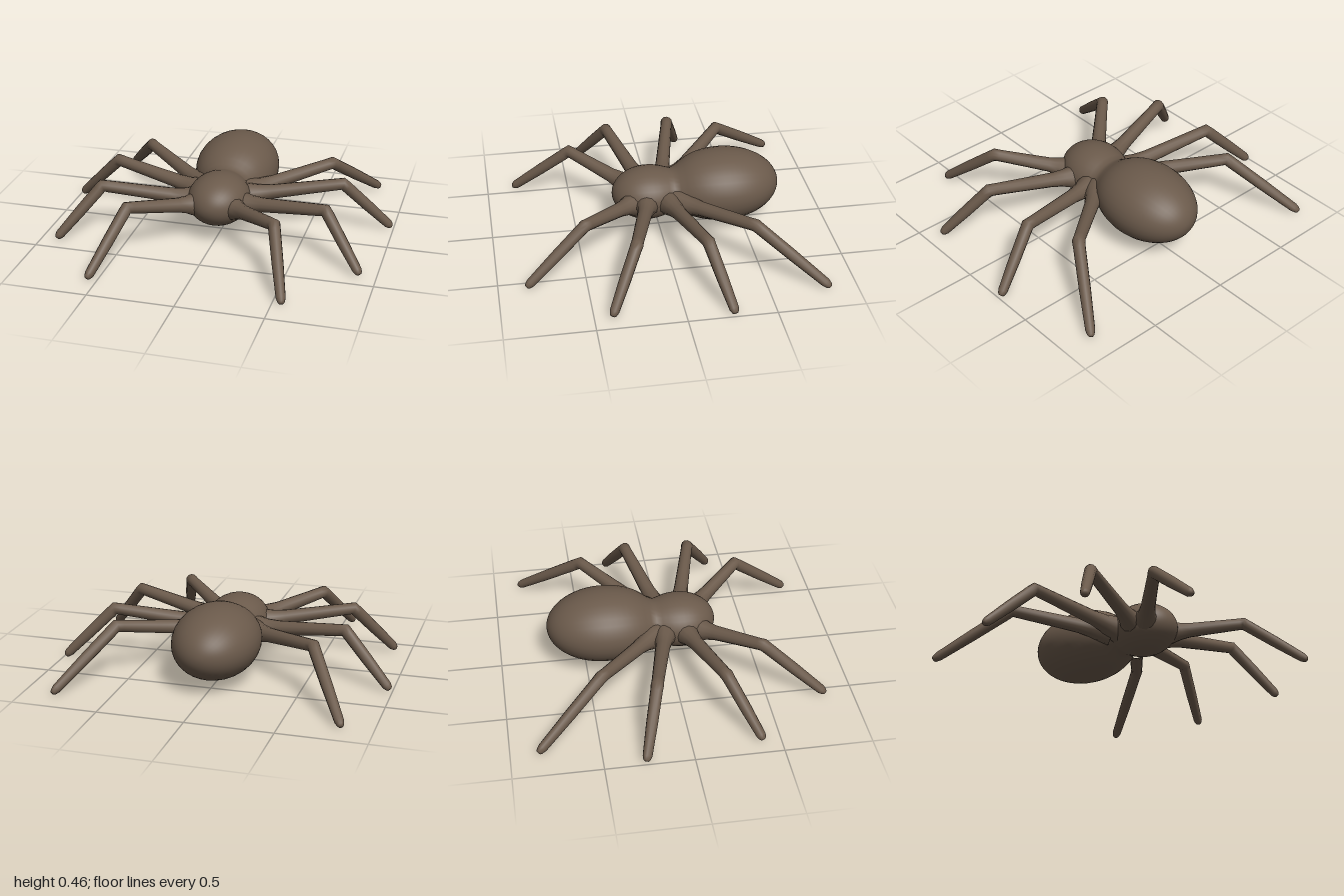
import * as THREE from 'three';
import { mergeVertices } from 'three/addons/utils/BufferGeometryUtils.js';

const UP = new THREE.Vector3(0, 1, 0);

// Skin a row of elliptical rings: each has centre c, tangent t, half width w, half height h
function loft(rings, sides) {
  const pos = [], index = [];
  rings.forEach(({ c, t, w, h }, i) => {
    const side = t.clone().cross(UP).normalize();
    const up = side.clone().cross(t).normalize();
    for (let j = 0; j < sides; j++) {
      const a = (j / sides) * Math.PI * 2;
      const p = c.clone().addScaledVector(side, w * Math.cos(a)).addScaledVector(up, h * Math.sin(a));
      pos.push(p.x, p.y, p.z);
      if (i === rings.length - 1) continue;
      const k = (j + 1) % sides, r = i * sides, n = r + sides;
      index.push(r + j, n + j, r + k, r + k, n + j, n + k);
    }
  });
  let geo = new THREE.BufferGeometry();
  geo.setAttribute('position', new THREE.Float32BufferAttribute(pos, 3));
  geo.setIndex(index);
  geo = mergeVertices(geo, 1e-5);
  geo.computeVertexNormals();
  return geo;
}

// Head and abdomen: two ellipsoids blended at a narrow waist
function bodyGeometry() {
  const head = { z: 0.065, l: 0.215, w: 0.185, h: 0.153, y: 0.237 };
  const abdomen = { z: -0.38, l: 0.34, w: 0.252, h: 0.21, y: 0.255 };
  const slice = (e, z) => Math.sqrt(Math.max(0, 1 - ((z - e.z) / e.l) ** 2));
  const blend = (a, b) => (a ** 6 + b ** 6) ** (1 / 6);
  const rings = [], N = 44;
  for (let i = 0; i <= N; i++) {
    const z = -0.22 + 0.5 * Math.cos((i / N) * Math.PI);
    const a = slice(head, z), b = slice(abdomen, z);
    const s = THREE.MathUtils.smoothstep(z, -0.25, 0.05);
    rings.push({
      c: new THREE.Vector3(0, THREE.MathUtils.lerp(abdomen.y, head.y, s), z),
      t: new THREE.Vector3(0, 0, -1),
      w: blend(a * head.w, b * abdomen.w),
      h: blend(a * head.h, b * abdomen.h),
    });
  }
  return loft(rings, 32);
}

// Two straight segments with a flared root, mitred knee and blunt tip
function legGeometry(root, knee, tip) {
  const upper = knee.clone().sub(root).normalize();
  const lower = tip.clone().sub(knee).normalize();
  const bend = upper.clone().add(lower).normalize();
  const rings = [];
  const add = (from, to, t, f, r) => rings.push({ c: from.clone().lerp(to, f), t, w: r, h: r });
  [[0, 0.08], [0.1, 0.068], [0.2, 0.052], [0.32, 0.043], [0.6, 0.039], [0.94, 0.035]]
    .forEach(([f, r]) => add(root, knee, upper, f, r));
  add(knee, tip, bend, 0, 0.037);
  [[0.07, 0.035], [0.5, 0.033], [0.93, 0.027], [0.98, 0.02], [1, 0.012], [1, 0]]
    .forEach(([f, r]) => add(knee, tip, lower, f, r));
  return loft(rings, 12);
}

export function createModel() {
  const group = new THREE.Group();
  group.name = 'spider';
  const material = new THREE.MeshStandardMaterial({ color: 0x6b5a4b });
  const add = (name, geometry) => {
    const mesh = new THREE.Mesh(geometry, material);
    mesh.name = name;
    group.add(mesh);
  };

  add('body', bodyGeometry());

  // Root, knee and tip of each leg on the left side, front to back
  const legs = {
    frontLeg: [[0.09, 0.225, 0.15], [0.43, 0.31, 0.49], [0.555, 0.018, 0.84]],
    secondLeg: [[0.1, 0.225, 0.08], [0.67, 0.31, 0.23], [0.905, 0.018, 0.4]],
    thirdLeg: [[0.1, 0.225, -0.03], [0.7, 0.31, -0.165], [0.985, 0.018, -0.267]],
    backLeg: [[0.12, 0.225, -0.09], [0.58, 0.31, -0.46], [0.825, 0.018, -0.845]],
  };
  for (const [name, points] of Object.entries(legs)) {
    for (const s of [1, -1]) {
      const [root, knee, tip] = points.map(([x, y, z]) => new THREE.Vector3(s * x, y, z));
      add(name + (s > 0 ? 'Left' : 'Right'), legGeometry(root, knee, tip));
    }
  }
  return group;
}
